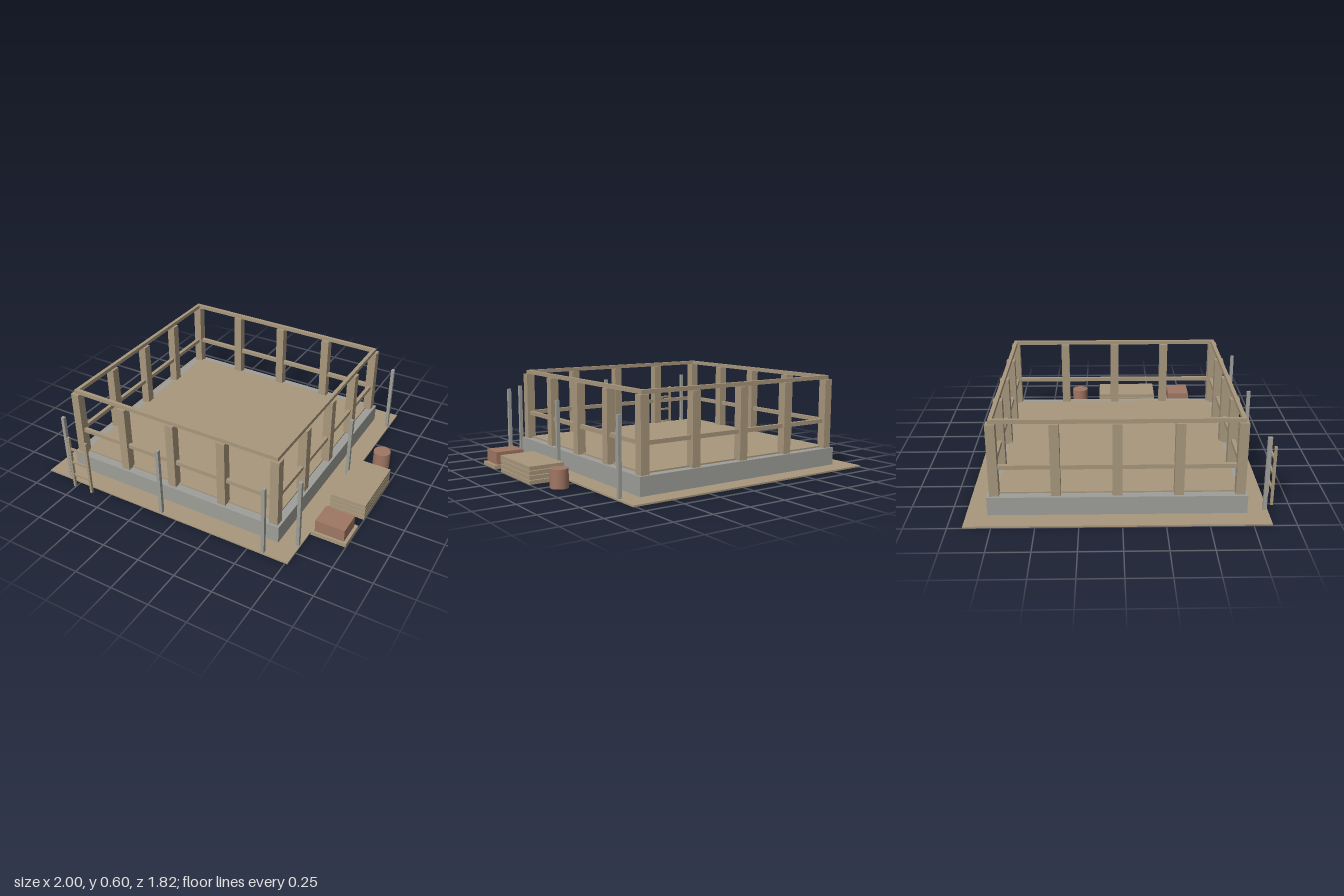
import * as THREE from 'three';

export function createModel() {
  const model = new THREE.Group();
  model.name = 'buildingSite';

  const material = (name, color) => {
    const m = new THREE.MeshStandardMaterial({ color });
    m.name = name;
    return m;
  };
  const wood = material('wood', 0xa8977c);
  const concrete = material('concrete', 0x9e9e99);
  const clay = material('clay', 0xa07763);

  const group = (name) => {
    const g = new THREE.Group();
    g.name = name;
    model.add(g);
    return g;
  };
  // Box given by its lower and upper limits on each axis
  const box = (parent, name, mat, [x0, x1], [y0, y1], [z0, z1]) => {
    const mesh = new THREE.Mesh(new THREE.BoxGeometry(x1 - x0, y1 - y0, z1 - z0), mat);
    mesh.position.set((x0 + x1) / 2, (y0 + y1) / 2, (z0 + z1) / 2);
    mesh.name = name;
    parent.add(mesh);
    return mesh;
  };
  const around = (c, half) => [c - half, c + half];

  // Centre of the house and half the distance between opposite walls
  const CX = -0.117, CZ = -0.027, HALF = 0.715;

  // Ground sheet
  box(model, 'groundSheet', wood, around(CX, 0.884), [0.001, 0.011], around(CZ, 0.884));

  // Foundation ring, pushed up from a square outline with a square hole
  const square = (h) => [[-h, -h], [h, -h], [h, h], [-h, h]].map(([x, y]) => new THREE.Vector2(x, y));
  const outline = new THREE.Shape(square(HALF + 0.043));
  outline.holes.push(new THREE.Path(square(HALF - 0.043)));
  const ring = new THREE.ExtrudeGeometry(outline, { depth: 0.125, bevelEnabled: false });
  ring.rotateX(-Math.PI / 2);
  const foundation = new THREE.Mesh(ring, concrete);
  foundation.position.set(CX, 0, CZ);
  foundation.name = 'foundation';
  model.add(foundation);

  // Floor deck
  box(model, 'floorDeck', wood, around(CX, HALF - 0.01), [0.118, 0.134], around(CZ, HALF - 0.01));

  // Wall frame: five posts to a side, with the corners shared
  const frame = group('wallFrame');
  const step = HALF / 2;
  for (let i = -2; i <= 2; i++) {
    for (let j = -2; j <= 2; j++) {
      if (Math.abs(i) < 2 && Math.abs(j) < 2) continue;
      box(frame, 'post', wood, around(CX + i * step, 0.028), [0.125, 0.575], around(CZ + j * step, 0.028));
    }
  }

  // Top plates and middle rails on all four sides
  for (const s of [-1, 1]) {
    const wallX = around(CX + s * HALF, 0.012);
    const wallZ = around(CZ + s * HALF, 0.012);
    box(frame, 'topPlate', wood, around(CX, HALF + 0.012), [0.575, 0.6], wallZ);
    box(frame, 'topPlate', wood, wallX, [0.575, 0.6], around(CZ, HALF - 0.012));
    box(frame, 'middleRail', wood, around(CX, HALF), [0.29, 0.316], wallZ);
    box(frame, 'middleRail', wood, wallX, [0.29, 0.316], around(CZ, HALF));
  }

  // Scaffold poles along the front and one side
  const poles = group('scaffoldPoles');
  for (const k of [-1, 0, 1]) {
    box(poles, 'pole', concrete, around(CX + k * HALF, 0.011), [0.005, 0.477], around(0.84, 0.011));
    box(poles, 'pole', concrete, around(0.75, 0.011), [0.005, 0.477], around(CZ + k * HALF, 0.011));
  }

  // Ladder
  const ladder = group('ladder');
  for (const x of [-0.757, -0.623]) {
    box(ladder, 'ladderRail', wood, around(x, 0.008), [0, 0.382], around(0.897, 0.008));
  }
  for (const y of [0.098, 0.198, 0.298]) {
    box(ladder, 'rung', wood, [-0.75, -0.63], around(y, 0.007), around(0.897, 0.006));
  }

  // Stack of boards
  const boards = group('boardStack');
  for (let i = 0; i < 4; i++) {
    box(boards, 'board', wood, [0.77, 1], [i * 0.0285, i * 0.0285 + 0.0245], [-0.14, 0.28]);
  }

  // Bricks on a pallet
  const bricks = group('brickPallet');
  box(bricks, 'pallet', wood, [0.77, 1], [0, 0.025], [0.373, 0.562]);
  box(bricks, 'brickBlock', clay, [0.79, 0.98], [0.025, 0.107], [0.392, 0.546]);

  // Barrel
  const barrel = new THREE.Mesh(new THREE.CylinderGeometry(0.056, 0.056, 0.117, 24), clay);
  barrel.position.set(0.883, 0.0585, -0.293);
  barrel.name = 'barrel';
  model.add(barrel);

  return model;
}
